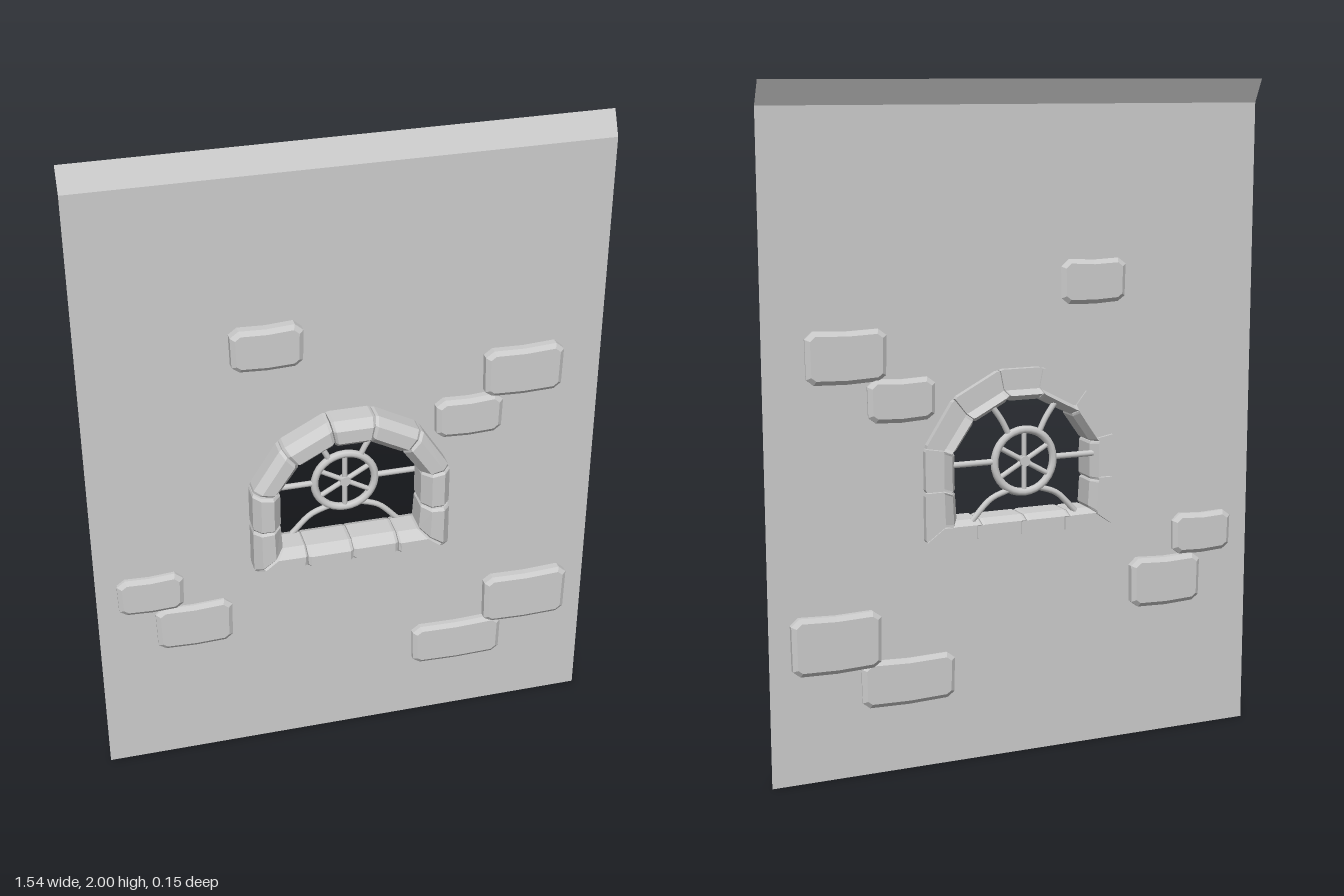
import * as THREE from 'three';

const grey = new THREE.MeshStandardMaterial({ color: 0xcccccc, flatShading: true });
const sheet = new THREE.MeshStandardMaterial({ color: 0xcccccc, flatShading: true, side: THREE.DoubleSide });
const smooth = new THREE.MeshStandardMaterial({ color: 0xcccccc });

const WALL_Z = -0.02;
const BAR_Z = -0.055;

function add(parent, name, geometry, material) {
  const mesh = new THREE.Mesh(geometry, material);
  mesh.name = name;
  parent.add(mesh);
  return mesh;
}

// Joints between frame stones, counterclockwise from the lower left: [innerX, innerY, outerX, outerY]
const rightJoints = [
  [0.21, 0.745, 0.3, 0.68],
  [0.215, 0.83, 0.3, 0.83],
  [0.215, 0.945, 0.3, 0.96],
  [0.155, 1.03, 0.21, 1.1],
  [0.05, 1.085, 0.068, 1.175],
];
const mirrorX = ([ix, iy, ox, oy]) => [-ix, iy, -ox, oy];
const leftJoints = rightJoints.map(mirrorX).reverse();
const joints = [
  leftJoints[4],
  ...[-0.14, 0, 0.14].map((x) => [x, 0.745, x, 0.677]),
  ...rightJoints,
  ...leftJoints.slice(0, 4),
];

// Stone cross-section: [share of the way from inner to outer edge, z]
const section = [
  [0, -0.05], [0, 0.02], [0.3, 0.055], [0.75, 0.055],
  [1, 0.03], [1, -0.04], [0.32, -0.04], [0.2, -0.078],
];

// One stone swept between two joints, with chamfered ends
function stoneGeometry(a, b, lift) {
  const n = section.length;
  const position = [];
  const index = [];
  const slices = [[0.01, 0.92], [0.07, 1], [0.93, 1], [0.99, 0.92]];
  for (const [s, size] of slices) {
    const j = a.map((v, i) => v + (b[i] - v) * s);
    for (const [t, z] of section) {
      const tt = 0.5 + (t - 0.5) * size;
      const zz = z > 0 ? (z + lift) * (size < 1 ? 0.88 : 1) : z;
      position.push(j[0] + (j[2] - j[0]) * tt, j[1] + (j[3] - j[1]) * tt, zz);
    }
  }
  for (let k = 0; k < slices.length - 1; k++) {
    for (let i = 0; i < n; i++) {
      const p = k * n + i, q = k * n + (i + 1) % n;
      index.push(p, q, q + n, p, q + n, p + n);
    }
  }
  // End caps fan out from a middle point
  for (const end of [0, 1]) {
    const j = end ? b : a;
    const c = position.length / 3;
    const first = end ? (slices.length - 1) * n : 0;
    position.push((j[0] + j[2]) / 2, (j[1] + j[3]) / 2, -0.01);
    for (let i = 0; i < n; i++) {
      const p = first + i, q = first + (i + 1) % n;
      if (end) index.push(c, p, q);
      else index.push(c, q, p);
    }
  }
  const g = new THREE.BufferGeometry();
  g.setAttribute('position', new THREE.Float32BufferAttribute(position, 3));
  g.setIndex(index);
  const flat = g.toNonIndexed();
  flat.computeVertexNormals();
  return flat;
}

function buildFrame() {
  const frame = new THREE.Group();
  frame.name = 'windowFrame';
  const lifts = [0, 0.004, -0.002, 0.003, 0.005, 0, 0.002, 0.006, 0.012, 0.004, 0, 0.006, 0.002];
  joints.forEach((a, i) => {
    const b = joints[(i + 1) % joints.length];
    const name = i < 4 ? 'sillStone' : i < 6 || i > 10 ? 'jambStone' : 'archStone';
    add(frame, name, stoneGeometry(a, b, lifts[i]), grey);
  });
  return frame;
}

// Wall sheet with the window opening, and its top edge leaning back
function buildWall() {
  const wall = new THREE.Group();
  wall.name = 'wall';
  const shape = new THREE.Shape();
  shape.moveTo(-0.77, 0).lineTo(0.77, 0).lineTo(0.77, 1.93).lineTo(-0.77, 1.93).closePath();
  shape.holes.push(new THREE.Path(joints.map(([ix, iy, ox, oy]) =>
    new THREE.Vector2(ix * 0.4 + ox * 0.6, iy * 0.4 + oy * 0.6)).reverse()));
  add(wall, 'wallFace', new THREE.ShapeGeometry(shape), sheet).position.z = WALL_Z;
  const drop = 0.07, back = 0.036;
  const lip = add(wall, 'wallTopEdge', new THREE.PlaneGeometry(1.54, Math.hypot(drop, back)), sheet);
  lip.position.set(0, 1.93 + drop / 2, WALL_Z - back / 2);
  lip.rotation.x = -Math.atan2(back, drop);
  return wall;
}

// Worn brick with chamfered rim, clipped corners and a slightly bowed outline
function brickGeometry(x0, x1, y0, y1, z0, z1) {
  const bevel = 0.013, c = 0.014;
  const l = x0 + bevel, r = x1 - bevel, b = y0 + bevel, t = y1 - bevel;
  const m = (l + r) / 2;
  const points = [
    [l, b + c], [l + c, b + 0.004], [m, b], [r - c, b + 0.003], [r, b + c],
    [r + 0.002, t - c], [r - c, t], [m, t - 0.005], [l + c, t - 0.002], [l - 0.002, t - c],
  ].map(([x, y]) => new THREE.Vector2(x, y));
  const g = new THREE.ExtrudeGeometry(new THREE.Shape(points), {
    depth: z1 - z0 - 2 * 0.01, bevelEnabled: true, bevelSegments: 1, bevelSize: bevel, bevelThickness: 0.01,
  });
  return g.translate(0, 0, z0 + 0.01);
}

function buildBricks() {
  const bricks = new THREE.Group();
  bricks.name = 'bricks';
  // x from, x to, y from, y to, back z, front z
  const list = [
    [-0.34, -0.135, 1.35, 1.485, -0.03, 0.015],
    [0.41, 0.645, 1.16, 1.315, -0.035, 0.012],
    [0.265, 0.465, 1.04, 1.17, -0.035, 0.01],
    [-0.705, -0.51, 0.56, 0.69, -0.04, 0],
    [-0.595, -0.365, 0.41, 0.565, -0.05, -0.003],
    [0.44, 0.705, 0.325, 0.5, -0.045, 0.012],
    [0.21, 0.495, 0.2, 0.345, -0.034, 0.006],
  ];
  for (const b of list) add(bricks, 'brick', brickGeometry(...b), grey);
  return bricks;
}

// Wheel-shaped grille with bars reaching the frame
function buildGrille() {
  const grille = new THREE.Group();
  grille.name = 'windowGrille';
  grille.position.set(0, 0.905, BAR_Z);
  const R = 0.093;
  add(grille, 'wheelRim', new THREE.TorusGeometry(R, 0.012, 8, 32), smooth);
  for (let i = 0; i < 3; i++) {
    const spoke = add(grille, 'wheelSpoke', new THREE.CylinderGeometry(0.008, 0.008, 2 * R, 8), smooth);
    spoke.rotation.z = (i * Math.PI) / 3;
  }
  const hub = add(grille, 'wheelHub', new THREE.CylinderGeometry(0.016, 0.016, 0.024, 12), smooth);
  hub.rotation.x = Math.PI / 2;
  for (const side of [-1, 1]) {
    const bars = {
      sideBar: [[R, 0.005], [0.16, 0.005], [0.225, 0.005]],
      upperBar: [[0.047, 0.08], [0.07, 0.125], [0.105, 0.175]],
      lowerBar: [[0.045, -0.082], [0.105, -0.105], [0.165, -0.165]],
    };
    for (const [name, pts] of Object.entries(bars)) {
      const curve = new THREE.CatmullRomCurve3(pts.map(([x, y]) => new THREE.Vector3(side * x, y, 0)));
      add(grille, name, new THREE.TubeGeometry(curve, 10, 0.009, 8), smooth);
    }
  }
  return grille;
}

export function createModel() {
  const model = new THREE.Group();
  model.name = 'wallWithWindow';
  model.add(buildWall(), buildBricks(), buildFrame(), buildGrille());
  return model;
}
